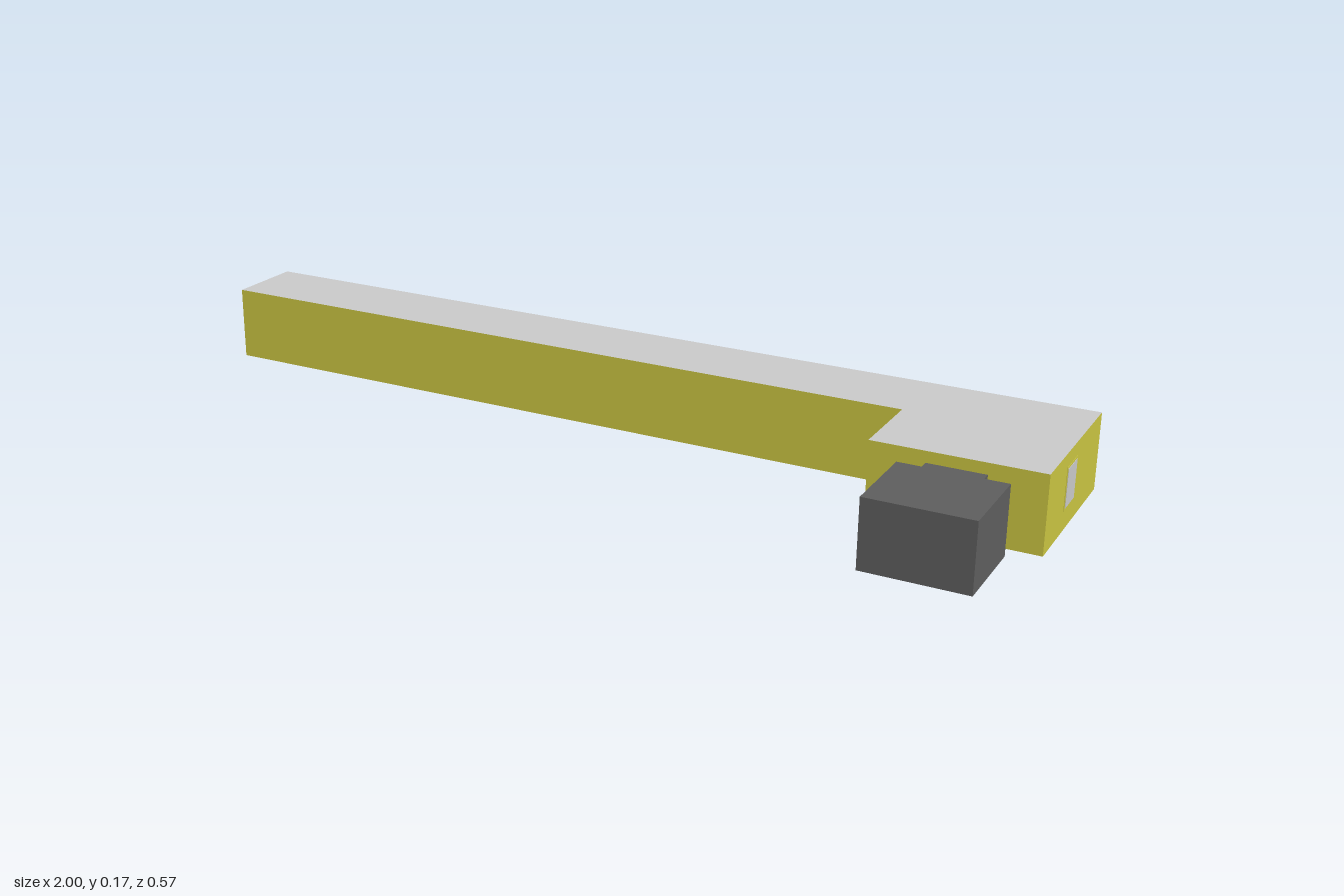
import * as THREE from 'three';

const mat = (name, color, extra = {}) => Object.assign(new THREE.MeshStandardMaterial({ color, ...extra }), { name });

export function createModel() {
  const yellow = mat('yellow wall', 0xcac542);
  const grey = mat('light grey', 0xcacaca);
  const dark = mat('dark grey', 0x5e5e5e);
  const brown = mat('brown underside', 0x5c3d0e);
  const model = new THREE.Group();

  const add = (name, geometry, material) => {
    const mesh = new THREE.Mesh(geometry, material);
    mesh.name = name;
    model.add(mesh);
    return mesh;
  };
  // box given by its two extreme corners
  const box = (name, a, b, material) => {
    const mesh = add(name, new THREE.BoxGeometry(b[0] - a[0], b[1] - a[1], b[2] - a[2]), material);
    mesh.position.set((a[0] + b[0]) / 2, (a[1] + b[1]) / 2, (a[2] + b[2]) / 2);
    return mesh;
  };

  // L-shaped building: plan outline in (x, -z), extruded upward
  const plan = new THREE.Shape([
    [-1, 0.11], [0.65, 0.11], [0.65, -0.075], [1, -0.075], [1, 0.285], [-1, 0.285],
  ].map(([x, y]) => new THREE.Vector2(x, y)));
  const body = new THREE.ExtrudeGeometry(plan, { depth: 0.164, bevelEnabled: false });
  body.rotateX(-Math.PI / 2).translate(0, 0.007, 0);
  // roof and far end grey, underside brown, walls yellow
  body.clearGroups();
  const { position: p, normal: n } = body.attributes;
  for (let i = 0; i < p.count; i += 3) {
    let slot = 0;
    if (n.getY(i) > 0.5 || (n.getX(i) < -0.5 && p.getX(i) < -0.9)) slot = 1;
    else if (n.getY(i) < -0.5) slot = 2;
    body.addGroup(i, 3, slot);
  }
  add('building', body, [yellow, grey, brown]);

  // tapering strip at the foot of the back wall
  const wedge = new THREE.Shape([[-1, 0], [0.66, 0], [-1, 0.011]].map(([x, y]) => new THREE.Vector2(x, y)));
  const strip = new THREE.ExtrudeGeometry(wedge, { depth: 0.001, bevelEnabled: false });
  strip.translate(0, 0.007, -0.286);
  add('baseStrip', strip, grey);

  // window on the end wall: frame and pane
  box('windowFrame', [0.998, 0.05, -0.116], [1.001, 0.14, -0.047], yellow);
  box('windowPane', [0.998, 0.055, -0.112], [1.002, 0.136, -0.052], grey);

  // annex block, its connecting passage and side plate
  box('annex', [0.715, 0.001, 0.096], [0.935, 0.147, 0.284], dark);
  box('annexPassage', [0.765, 0.001, 0.075], [0.885, 0.147, 0.096], dark);
  box('annexSidePlate', [0.895, 0.015, 0.087], [0.932, 0.14, 0.096], dark);

  // small fittings under the wide end
  box('underPad', [0.81, 0.004, 0.025], [0.84, 0.007, 0.055], dark);
  const disc = add('underDisc', new THREE.CylinderGeometry(0.013, 0.013, 0.002, 16), grey);
  disc.position.set(0.85, 0.0065, -0.09);

  return model;
}
